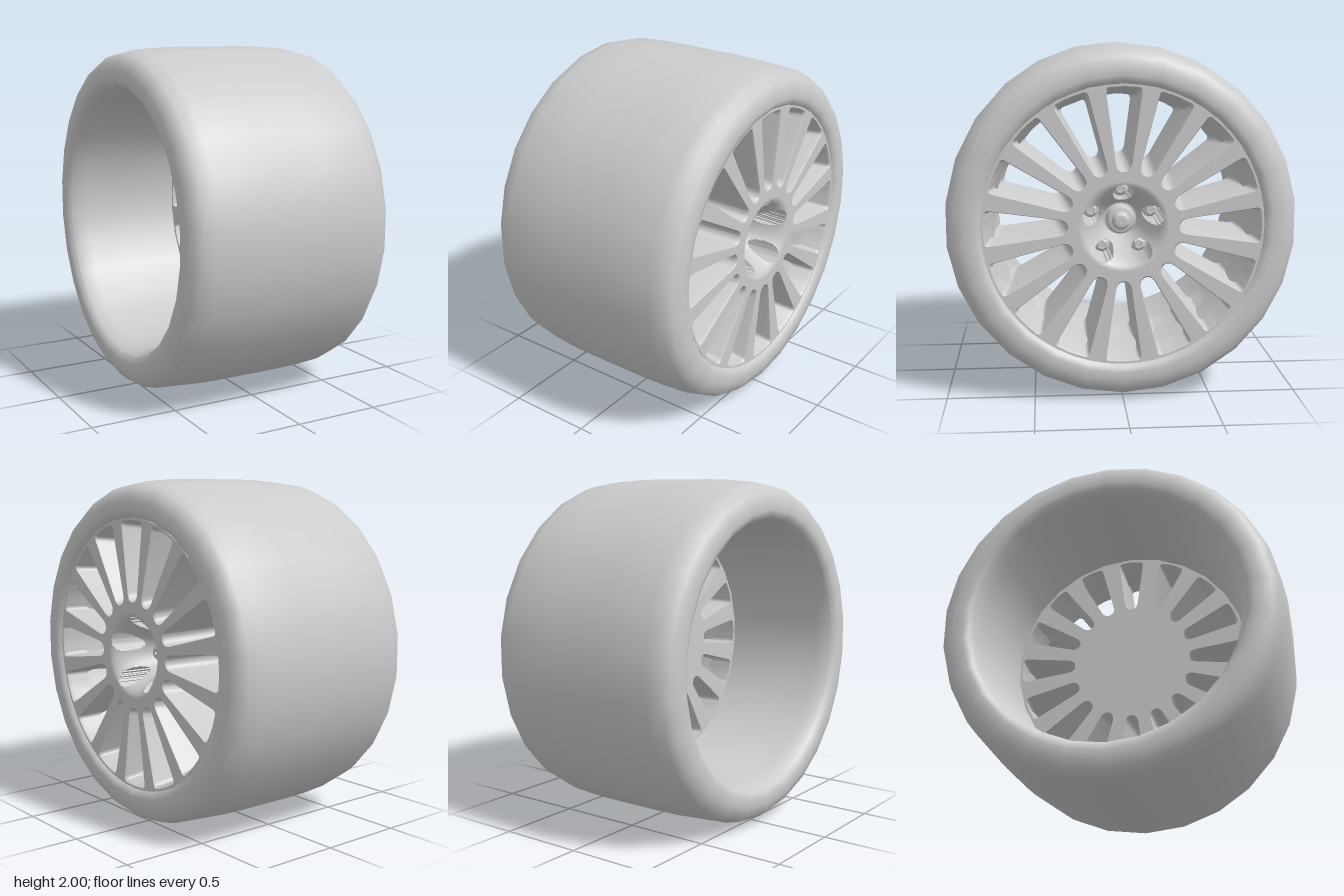
import * as THREE from 'three';
import { mergeGeometries, toCreasedNormals } from 'three/addons/utils/BufferGeometryUtils.js';

const SIDES = 26, SPOKES = 16, LUGS = 5;
const FACE = 0.6, BACK = 0.1, BOWL = 0.25;
const grey = new THREE.MeshStandardMaterial({ color: 0xcccccc });
const greyDouble = new THREE.MeshStandardMaterial({ color: 0xcccccc, side: THREE.DoubleSide });

function add(parent, name, geometry, material = grey) {
  const mesh = new THREE.Mesh(geometry, material);
  mesh.name = name;
  parent.add(mesh);
  return mesh;
}

// Revolves [radius, z] points around the z axis
function revolve(points, sides) {
  return new THREE.LatheGeometry(points.map(p => new THREE.Vector2(...p)), sides).rotateX(Math.PI / 2);
}

// Rounded wedge outline of one opening, counter-clockwise, pointing along +y
function windowLoop(outer, halfOuter, inner, halfInner) {
  const s = new THREE.Shape();
  const c = 0.035, e = halfInner * 1.3, k = (halfOuter - halfInner) / (outer - inner);
  const low = halfInner + k * e, high = halfOuter - k * c;
  s.moveTo(low, inner + e);
  s.lineTo(high, outer - c);
  s.quadraticCurveTo(halfOuter, outer, halfOuter - c, outer - 0.003);
  s.quadraticCurveTo(0, outer + 0.006, c - halfOuter, outer - 0.003);
  s.quadraticCurveTo(-halfOuter, outer, -high, outer - c);
  s.lineTo(-low, inner + e);
  s.quadraticCurveTo(-halfInner, inner, 0, inner);
  s.quadraticCurveTo(halfInner, inner, low, inner + e);
  const pts = s.getPoints(6);
  pts.pop();
  return pts;
}

const turn = (pts, a) => pts.map(p => p.clone().rotateAround(new THREE.Vector2(), a));

// Flat disc pierced by all the openings
function piercedDisc(radius, loop, z, bore) {
  const shape = new THREE.Shape().absarc(0, 0, radius, 0, Math.PI * 2);
  for (let i = 0; i < SPOKES; i++) shape.holes.push(new THREE.Path(turn(loop, i * Math.PI * 2 / SPOKES)));
  if (bore) shape.holes.push(new THREE.Path().absarc(0, 0, bore, 0, Math.PI * 2, true));
  return new THREE.ShapeGeometry(shape, 26).translate(0, 0, z);
}

// Walls of one opening, facing into it, lofted through loops from front to back
function windowWalls(loops, depths) {
  const pos = [], index = [], n = loops[0].length;
  loops.forEach((loop, j) => loop.forEach(p => pos.push(p.x, p.y, depths[j])));
  for (let j = 0; j < loops.length - 1; j++) {
    for (let i = 0; i < n; i++) {
      const a = j * n + i, b = j * n + (i + 1) % n;
      index.push(a, b, a + n, b, b + n, a + n);
    }
  }
  const g = new THREE.BufferGeometry();
  g.setAttribute('position', new THREE.Float32BufferAttribute(pos, 3));
  g.setIndex(index);
  return toCreasedNormals(g, 0.6);
}

const lugPosition = i => {
  const a = Math.PI / 2 + i * Math.PI * 2 / LUGS;
  return new THREE.Vector2(Math.cos(a) * 0.18, Math.sin(a) * 0.18);
};

// Depth of the dished hub, with a centre recess and lug pockets
function bowlDepth(x, y) {
  const r = Math.hypot(x, y);
  const t = Math.min(1, Math.max(0, (r - 0.1) / (BOWL - 0.1)));
  let z = r < 0.1 ? 0.31 : 0.37 + (FACE - 0.37) * Math.sin(t * Math.PI / 2);
  for (let i = 0; i < LUGS; i++) {
    const p = lugPosition(i);
    if (Math.hypot(x - p.x, y - p.y) < 0.052) z = Math.min(z, 0.32);
  }
  return z;
}

function bowlGeometry() {
  const g = new THREE.RingGeometry(0.001, BOWL, 160, 50);
  const p = g.attributes.position;
  for (let i = 0; i < p.count; i++) p.setZ(i, bowlDepth(p.getX(i), p.getY(i)));
  return toCreasedNormals(g, 0.6);
}

export function createModel() {
  const model = new THREE.Group();
  model.name = 'wheel';
  // Built with the axle along z, then turned so the spoked face looks along +x
  const wheel = new THREE.Group();
  wheel.name = 'wheelAssembly';
  wheel.rotation.y = Math.PI / 2;
  model.add(wheel);

  // Tyre: half profile mirrored across the tread
  const half = [[0.785, 0.595], [0.8, 0.615], [0.83, 0.625], [0.88, 0.622], [0.93, 0.605],
    [0.965, 0.565], [0.985, 0.49], [0.997, 0.32], [1, 0.2]];
  const profile = [...half.map(([r, z]) => [r, -z]), ...half.slice().reverse()];
  add(wheel, 'tyre', revolve(profile, SIDES), greyDouble);

  // Rim barrel, open to the back
  add(wheel, 'rimBarrel', revolve([[0.785, 0.58], [0.765, 0.5], [0.725, 0.42], [0.722, 0.1],
    [0.73, -0.2], [0.755, -0.5], [0.765, -0.56], [0.785, -0.595]], SIDES), greyDouble);
  add(wheel, 'rimEdge', revolve([[0.783, 0.54], [0.783, FACE]], 52), greyDouble);

  // Spoked face: pierced front and back discs joined by tapering walls
  const front = windowLoop(0.768, 0.104, 0.305, 0.04);
  const bevel = windowLoop(0.758, 0.097, 0.315, 0.036);
  const rear = windowLoop(0.702, 0.08, 0.36, 0.036);
  add(wheel, 'spokeFronts', piercedDisc(0.783, front, FACE, BOWL));
  add(wheel, 'spokeBacks', piercedDisc(0.722, rear, BACK), greyDouble);
  const wall = windowWalls([front, bevel, rear], [FACE, FACE - 0.015, BACK]);
  const walls = [];
  for (let i = 0; i < SPOKES; i++) walls.push(wall.clone().rotateZ(i * Math.PI * 2 / SPOKES));
  add(wheel, 'spokeSides', mergeGeometries(walls));

  // Dished hub and centre cap
  add(wheel, 'hubBowl', bowlGeometry());
  add(wheel, 'centreCap', toCreasedNormals(revolve([[0.083, 0.31], [0.083, 0.36], [0.072, 0.385],
    [0.052, 0.39], [0.048, 0.42], [0.035, 0.435], [0.01, 0.44], [0.008, 0.425], [0, 0.425]], 32), 0.5));

  // Lug nuts
  for (let i = 0; i < LUGS; i++) {
    const p = lugPosition(i);
    const nut = new THREE.Group();
    nut.name = 'lugNut';
    nut.position.set(p.x, p.y, 0.32);
    wheel.add(nut);
    add(nut, 'washer', toCreasedNormals(revolve([[0.046, 0], [0.046, 0.012], [0.038, 0.018], [0, 0.018]], 20), 0.4));
    add(nut, 'hexNut', toCreasedNormals(revolve([[0.036, 0.015], [0.036, 0.05], [0.028, 0.058],
      [0.02, 0.058], [0.018, 0.048], [0, 0.048]], 6), 0.3));
  }

  // Rest the tyre on the ground
  wheel.position.y = 1;
  return model;
}
